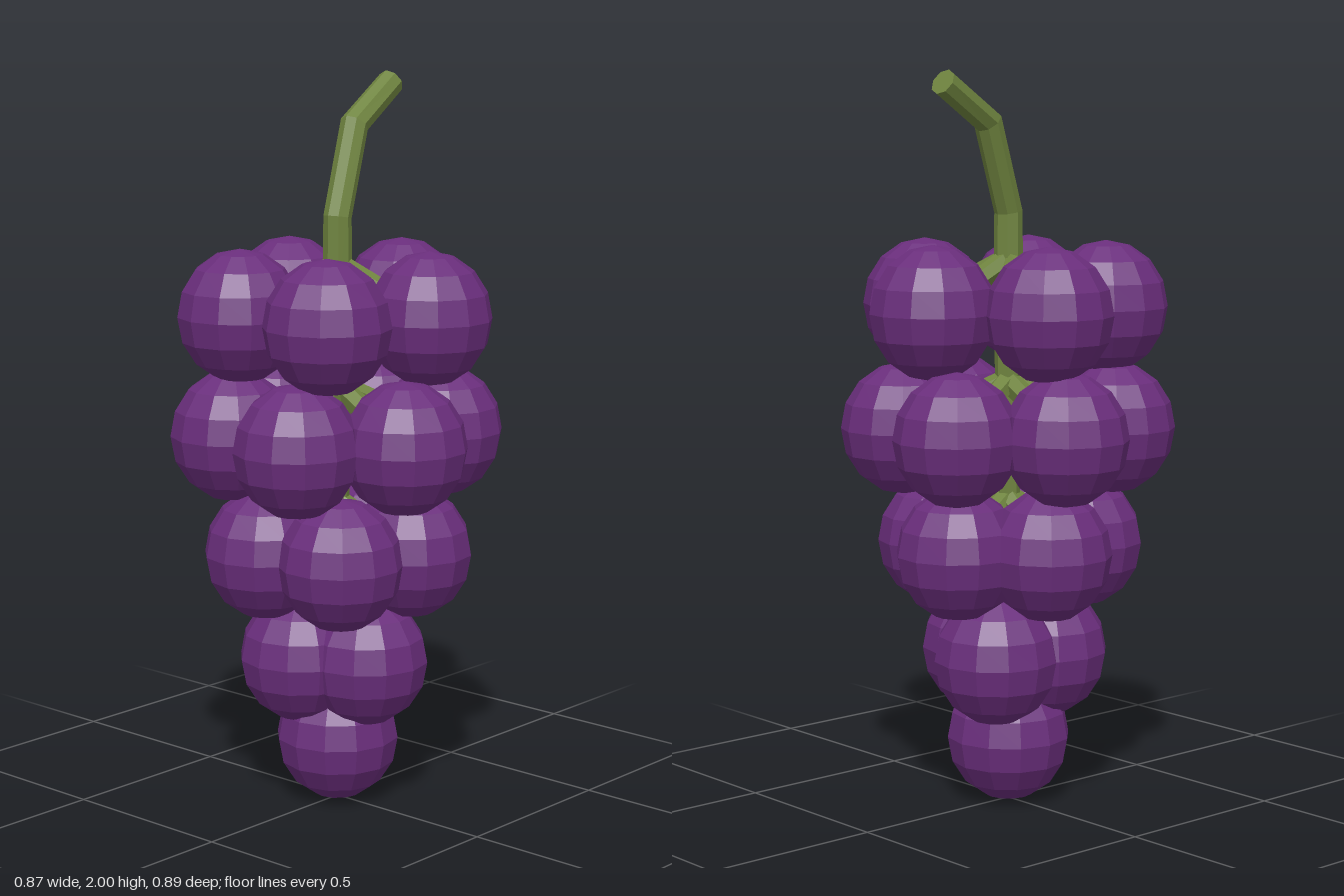
import * as THREE from 'three';

const UP = new THREE.Vector3(0, 1, 0);
const V = (x, y, z) => new THREE.Vector3(x, y, z);

// Closed rod bent along a list of centres, with a radius at each one
function bentRod(centres, radii, sides) {
  const n = centres.length - 1;
  const geo = new THREE.CylinderGeometry(1, 1, 1, sides, n);
  const pos = geo.attributes.position;
  const turns = centres.map((c, i) => {
    const before = centres[Math.max(i - 1, 0)];
    const after = centres[Math.min(i + 1, n)];
    const a = c.clone().sub(before).normalize();
    const b = after.clone().sub(c).normalize();
    return new THREE.Quaternion().setFromUnitVectors(UP, a.add(b).normalize());
  });
  const v = V(0, 0, 0);
  for (let k = 0; k < pos.count; k++) {
    const i = Math.round((pos.getY(k) + 0.5) * n);
    v.set(pos.getX(k), 0, pos.getZ(k)).multiplyScalar(radii[i]);
    v.applyQuaternion(turns[i]).add(centres[i]);
    pos.setXYZ(k, v.x, v.y, v.z);
  }
  geo.computeVertexNormals();
  return geo;
}

export function createModel() {
  const model = new THREE.Group();
  model.name = 'grapeBunch';

  const purple = new THREE.MeshStandardMaterial({ color: 0x6a2e7c, flatShading: true });
  purple.name = 'grape purple';
  const green = new THREE.MeshStandardMaterial({ color: 0x6f843f, flatShading: true });
  green.name = 'stem green';

  const add = (name, geo, mat, parent) => {
    const mesh = new THREE.Mesh(geo, mat);
    mesh.name = name;
    parent.add(mesh);
    return mesh;
  };

  // Main stem: straight inside the bunch, bent to the left above it
  add('stem', bentRod(
    [V(0, 0.3, 0), V(0, 1.45, 0), V(0, 1.62, 0), V(0.09, 1.86, -0.02), V(0.26, 1.965, -0.037)],
    [0.025, 0.04, 0.038, 0.039, 0.037], 8), green, model);

  // Rows of grapes around the stem, each grape on its own stalk
  const rows = [
    { y: 1.362, radius: 0.265, count: 5, start: 0 },
    { y: 1.035, radius: 0.284, count: 6, start: 40 },
    { y: 0.715, radius: 0.205, count: 5, start: 64 },
    { y: 0.415, radius: 0.105, count: 3, start: 90 },
    { y: 0.18, radius: 0, count: 1, start: 0 },
  ];
  const grapeGeo = new THREE.SphereGeometry(0.17, 12, 8).scale(1, 0.18 / 0.17, 1);

  rows.forEach((row, r) => {
    const group = new THREE.Group();
    group.name = `grapeRow${r + 1}`;
    model.add(group);
    for (let i = 0; i < row.count; i++) {
      const a = THREE.MathUtils.degToRad(row.start + (i * 360) / row.count);
      const centre = V(Math.cos(a) * row.radius, row.y, Math.sin(a) * row.radius);
      const grape = add('grape', grapeGeo, purple, group);
      grape.position.copy(centre);
      grape.rotation.y = -a;
      add('stalk', bentRod([V(0, row.y + 0.13, 0), centre], [0.032, 0.028], 6), green, group);
    }
  });

  return model;
}
